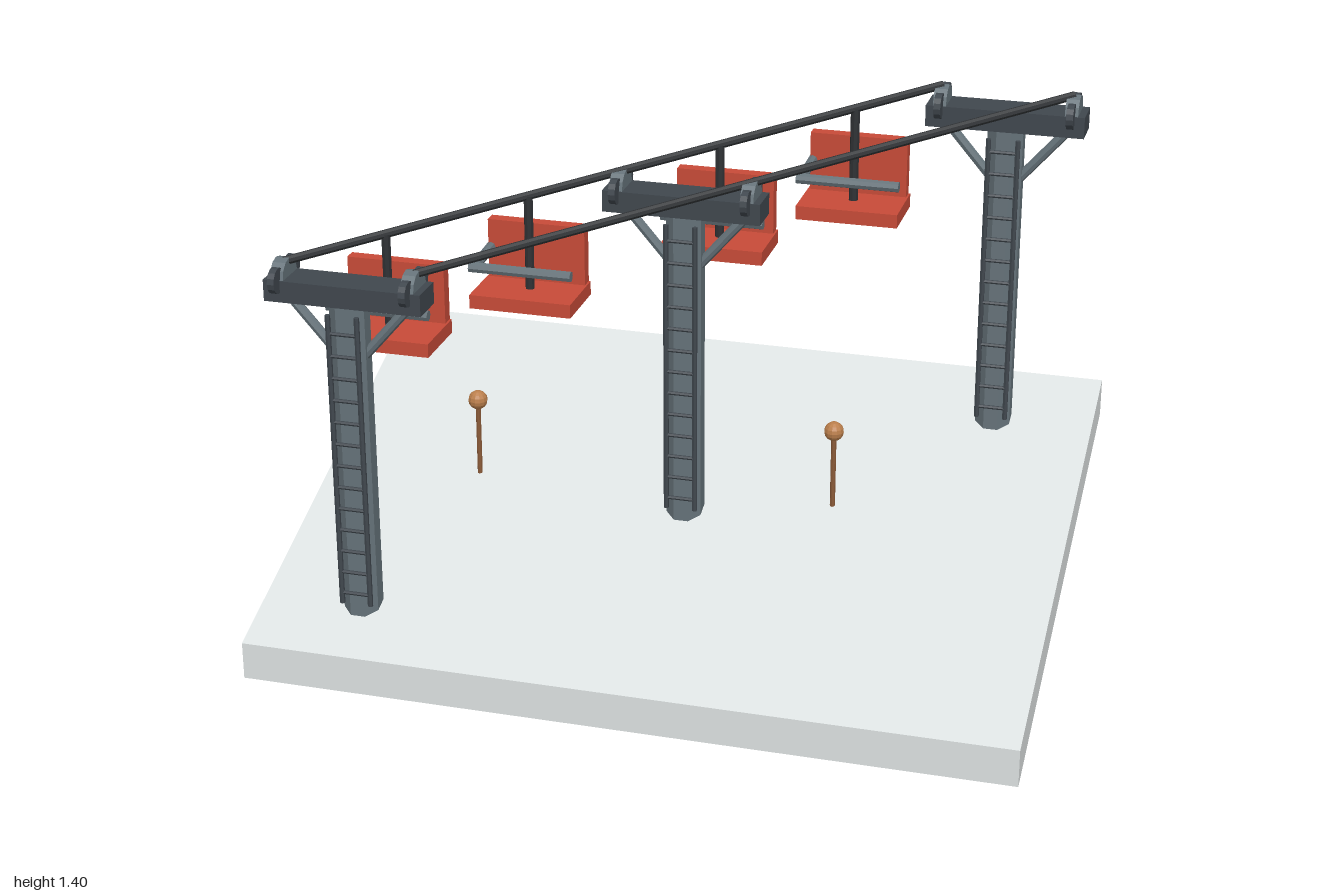
import * as THREE from 'three';

const mat = (name, color, flatShading = false) => {
  const m = new THREE.MeshStandardMaterial({ color, flatShading });
  m.name = name;
  return m;
};

export function createModel() {
  const snow = mat('snow', 0xdde2e2, true);
  const steel = mat('steel', 0x66737a, true);
  const darkSteel = mat('darkSteel', 0x40474e, true);
  const cableBlack = mat('cableBlack', 0x2f3235, true);
  const seatRed = mat('seatRed', 0xc74b38, true);
  const wood = mat('wood', 0x8a5a38, true);
  const ballTan = mat('ballTan', 0xbb7f4c, true);

  const model = new THREE.Group();
  model.name = 'chairlift';

  const add = (parent, name, geometry, material, x = 0, y = 0, z = 0) => {
    const mesh = new THREE.Mesh(geometry, material);
    mesh.name = name;
    mesh.position.set(x, y, z);
    parent.add(mesh);
    return mesh;
  };

  // Round bar between two points
  const rod = (parent, name, a, b, radius, material, sides = 8) => {
    const from = new THREE.Vector3(...a), to = new THREE.Vector3(...b);
    const dir = to.clone().sub(from);
    const mesh = add(parent, name, new THREE.CylinderGeometry(radius, radius, dir.length(), sides), material);
    mesh.position.copy(from).add(to).multiplyScalar(0.5);
    mesh.quaternion.setFromUnitVectors(new THREE.Vector3(0, 1, 0), dir.normalize());
    return mesh;
  };

  // Wheel with its axle along x
  const wheel = (parent, name, radius, width, sides, material, x, y, z) => {
    const geometry = new THREE.CylinderGeometry(radius, radius, width, sides).rotateZ(Math.PI / 2);
    return add(parent, name, geometry, material, x, y, z);
  };

  // Sloping ground slab with upright edges
  const groundY = (z) => 0.318 - 0.345 * z;
  const slab = new THREE.BoxGeometry(2, 0.1, 1.264);
  const pos = slab.attributes.position;
  for (let i = 0; i < pos.count; i++) {
    pos.setY(i, pos.getY(i) - 0.05 + groundY(pos.getZ(i)));
  }
  slab.computeVertexNormals();
  add(model, 'slope', slab, snow);

  // s runs from +1 (low tower) to -1 (high tower)
  const lineX = (s) => -0.735 * s;
  const lineZ = (s) => 0.45 * s;
  const cableY = (s) => 1.2375 - 0.1525 * s;
  const track = 0.17;

  // Towers
  for (const s of [1, 0, -1]) {
    const tower = new THREE.Group();
    tower.name = 'tower';
    const base = groundY(lineZ(s));
    const beamY = 1.171 - 0.148 * s - base;
    const under = beamY - 0.027;
    tower.position.set(lineX(s), base, lineZ(s));
    model.add(tower);

    const column = new THREE.CylinderGeometry(0.05, 0.05, under + 0.04, 8).rotateY(Math.PI / 8);
    add(tower, 'column', column, steel, 0, (under - 0.04) / 2, 0);
    add(tower, 'crossbeam', new THREE.BoxGeometry(0.41, 0.056, 0.096), darkSteel, 0, beamY, 0);

    for (const side of [-1, 1]) {
      rod(tower, 'brace', [side * 0.035, under - 0.14, 0], [side * 0.16, under + 0.005, 0], 0.013, steel);
      rod(tower, 'ladderRail', [side * 0.038, 0.02, 0.05], [side * 0.038, under - 0.02, 0.05], 0.007, darkSteel, 6);
      wheel(tower, 'sheave', 0.045, 0.034, 12, steel, side * track, beamY + 0.028, 0);
      for (const end of [-1, 1]) {
        wheel(tower, 'guideWheel', 0.033, 0.018, 14, darkSteel, side * track, beamY + 0.03, end * 0.05);
      }
    }
    for (let i = 0; i < 13; i++) {
      const y = 0.05 + i * 0.0595;
      rod(tower, 'ladderRung', [-0.038, y, 0.05], [0.038, y, 0.05], 0.005, darkSteel, 6);
    }
  }

  // Cables
  for (const side of [-1, 1]) {
    const end = (s) => [lineX(s) + side * track, cableY(s), lineZ(s)];
    rod(model, 'cable', end(1), end(-1), 0.011, cableBlack);
  }

  // Chairs hang from the right-hand cable
  for (const s of [0.7, 0.278, -0.304, -0.724]) {
    const chair = new THREE.Group();
    chair.name = 'chair';
    chair.position.set(lineX(s) - track, cableY(s), lineZ(s));
    model.add(chair);
    rod(chair, 'hanger', [0, 0, 0], [0, -0.255, 0], 0.012, cableBlack);
    add(chair, 'seat', new THREE.BoxGeometry(0.267, 0.036, 0.174), seatRed, 0, -0.266, 0);
    add(chair, 'backrest', new THREE.BoxGeometry(0.257, 0.19, 0.033), seatRed, 0, -0.188, -0.071);
    rod(chair, 'sideArm', [-0.122, -0.167, -0.065], [-0.122, -0.176, 0.078], 0.013, steel);
    rod(chair, 'safetyBar', [-0.134, -0.176, 0.076], [0.134, -0.176, 0.076], 0.014, steel);
  }

  // Marker posts
  for (const [x, z] of [[-0.585, -0.04], [0.38, -0.07]]) {
    const y = groundY(z);
    rod(model, 'markerPost', [x, y - 0.02, z], [x, y + 0.2, z], 0.007, wood);
    add(model, 'markerBall', new THREE.SphereGeometry(0.026, 12, 8), ballTan, x, y + 0.212, z);
  }

  return model;
}
